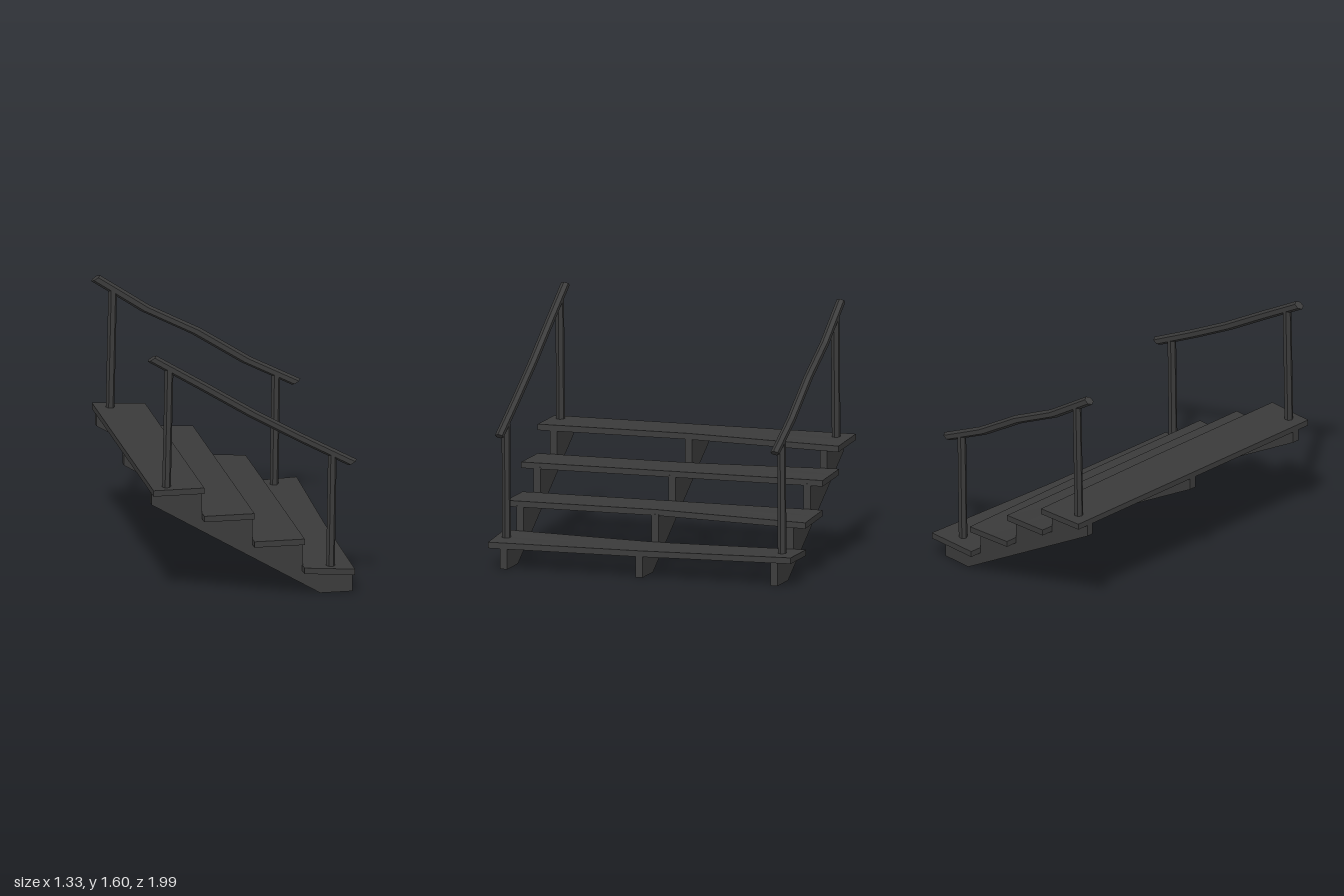
import * as THREE from 'three';

const wood = new THREE.MeshStandardMaterial({ color: 0x3a3a3a, flatShading: true });

function add(group, geometry, name) {
  const mesh = new THREE.Mesh(geometry, wood);
  mesh.name = name;
  group.add(mesh);
  return mesh;
}

// Saw-tooth support board, cut in the xy plane and centred on z
function stringer(group, z) {
  const pts = [[0.43, 0], [0.635, 0], [0.635, 0.15]];
  const levels = [0.15, 0.345, 0.535, 0.715];
  for (let i = 1; i < 4; i++) {
    const x = 0.64 - 0.32 * i;
    pts.push([x, levels[i - 1]], [x, levels[i]]);
  }
  pts.push([-0.638, 0.715], [-0.638, 0.63]);
  const shape = new THREE.Shape(pts.map(([x, y]) => new THREE.Vector2(x, y)));
  const geo = new THREE.ExtrudeGeometry(shape, { depth: 0.046, bevelEnabled: false });
  geo.translate(0, 0, z - 0.023);
  add(group, geo, 'stringer');
}

// Warped plank: each corner [dx, dy, dz] is blended in from the middle of the board
function tread(group, { x0, x1, top, z0, z1, warp }) {
  const geo = new THREE.BoxGeometry(x1 - x0, 0.038, z1 - z0, 2, 1, 4);
  geo.translate((x0 + x1) / 2, top - 0.019, (z0 + z1) / 2);
  const p = geo.attributes.position;
  for (let i = 0; i < p.count; i++) {
    const u = (p.getX(i) - x0) / (x1 - x0);
    const z = p.getZ(i);
    const end = Math.min(1, Math.abs(z));
    const [dx, dy, dz] = [0, 1, 2].map((k) => {
      const l = (warp[z > 0 ? 'frontLeft' : 'backLeft'] || [0, 0, 0])[k];
      const r = (warp[z > 0 ? 'frontRight' : 'backRight'] || [0, 0, 0])[k];
      return end * (l * (1 - u) + r * u);
    });
    p.setXYZ(i, p.getX(i) + dx, p.getY(i) + dy, z + dz);
  }
  geo.computeVertexNormals();
  add(group, geo, 'tread');
}

// Six-sided post leaning slightly between two points
function post(group, from, to) {
  const a = new THREE.Vector3(...from), b = new THREE.Vector3(...to);
  const geo = new THREE.CylinderGeometry(0.0275, 0.0275, a.distanceTo(b), 6);
  geo.rotateY(Math.PI / 2);
  const mesh = add(group, geo, 'post');
  mesh.position.copy(a).lerp(b, 0.5);
  mesh.quaternion.setFromUnitVectors(new THREE.Vector3(0, 1, 0), b.sub(a).normalize());
}

// Six-sided handrail swept down the slope with slanted end cuts; sag bends each station
function handrail(group, z, sag) {
  const n = sag.length;
  const rings = sag.map((s, i) => {
    const t = i / (n - 1);
    const cx = -0.6375 + 1.27 * t, cy = 1.58 - 0.7425 * t + s;
    return Array.from({ length: 6 }, (_, j) => {
      const c = Math.cos(j * Math.PI / 3), d = Math.sin(j * Math.PI / 3);
      return [cx + 0.0275 * c, cy + 0.0175 * c, z + 0.0275 * d];
    });
  });
  const v = [];
  for (let j = 0; j < 6; j++) {
    const k = (j + 1) % 6;
    for (let i = 0; i < n - 1; i++) {
      const [a, b] = [rings[i], rings[i + 1]];
      v.push(...a[j], ...a[k], ...b[k], ...a[j], ...b[k], ...b[j]);
    }
    // end caps
    if (j > 0 && j < 5) {
      v.push(...rings[0][0], ...rings[0][k], ...rings[0][j]);
      v.push(...rings[n - 1][0], ...rings[n - 1][j], ...rings[n - 1][k]);
    }
  }
  const geo = new THREE.BufferGeometry();
  geo.setAttribute('position', new THREE.Float32BufferAttribute(v, 3));
  geo.computeVertexNormals();
  add(group, geo, 'handrail');
}

export function createModel() {
  const model = new THREE.Group();
  model.name = 'stairs';

  // Supports
  [0.892, 0.005, -0.882].forEach((z) => stringer(model, z));

  // Steps, from the lowest up
  const steps = [
    { x0: 0.32, x1: 0.64, top: 0.17, z0: -0.985, z1: 0.995,
      warp: { frontLeft: [-0.005, 0.02, 0], frontRight: [-0.005, -0.005, 0],
        backLeft: [0, 0.01, 0], backRight: [0.018, 0.018, -0.015] } },
    { x0: 0, x1: 0.318, top: 0.375, z0: -0.985, z1: 0.985,
      warp: { backRight: [0.014, -0.024, 0] } },
    { x0: -0.32, x1: -0.002, top: 0.561, z0: -0.985, z1: 0.995,
      warp: { backLeft: [0, 0.019, 0] } },
    { x0: -0.642, x1: -0.32, top: 0.745, z0: -0.985, z1: 0.995,
      warp: { backRight: [0.014, -0.02, 0] } },
  ];
  steps.forEach((s) => tread(model, s));

  // Railings on both sides
  const sides = [
    { z: 0.922, sag: [0, -0.008, -0.02, -0.014, 0] },
    { z: -0.888, sag: [0, -0.028, -0.006, -0.024, 0] },
  ];
  for (const { z, sag } of sides) {
    const railing = new THREE.Group();
    railing.name = 'railing';
    post(railing, [0.493, 0.15, z], [0.505, 0.895, z]);
    post(railing, [-0.546, 0.72, z], [-0.529, 1.505, z]);
    handrail(railing, z, sag);
    model.add(railing);
  }
  return model;
}
